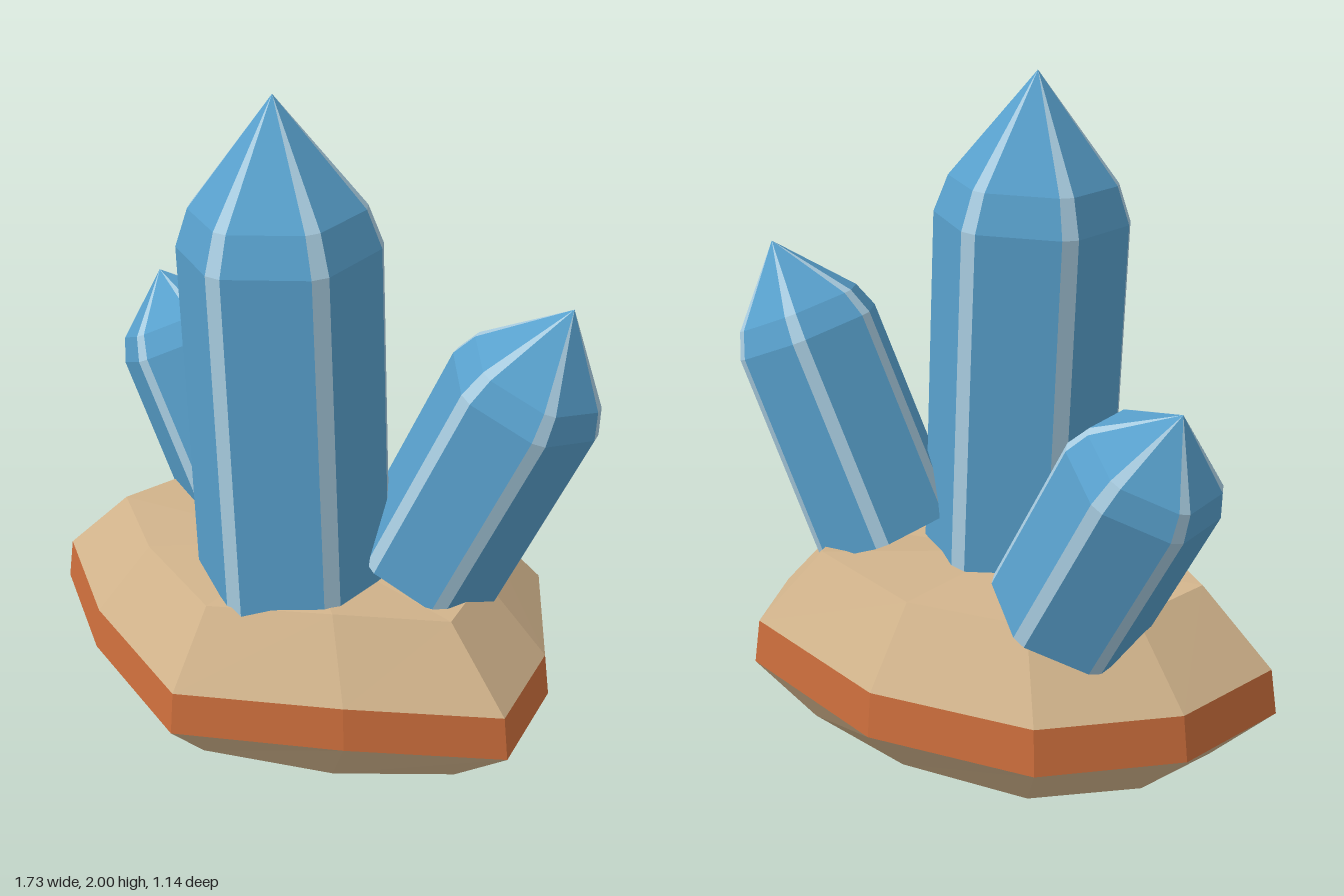
import * as THREE from 'three';

const mat = (name, color) => {
  const m = new THREE.MeshStandardMaterial({ color, flatShading: true });
  m.name = name;
  return m;
};

// Skin between rings of points; a ring of one point closes the end as a fan.
function loft(rings, keep = () => true) {
  const pos = [];
  const tri = (...pts) => pts.forEach(p => pos.push(p.x, p.y, p.z));
  for (let r = 0; r < rings.length - 1; r++) {
    const lo = rings[r], hi = rings[r + 1];
    const n = Math.max(lo.length, hi.length);
    for (let i = 0; i < n; i++) {
      if (!keep(i, r)) continue;
      const j = (i + 1) % n;
      if (hi.length === 1) tri(lo[i], hi[0], lo[j]);
      else if (lo.length === 1) tri(lo[0], hi[i], hi[j]);
      else {
        tri(lo[i], hi[i], lo[j]);
        tri(lo[j], hi[i], hi[j]);
      }
    }
  }
  const g = new THREE.BufferGeometry();
  g.setAttribute('position', new THREE.Float32BufferAttribute(pos, 3));
  g.computeVertexNormals();
  return g;
}

function mesh(name, geometry, material) {
  const m = new THREE.Mesh(geometry, material);
  m.name = name;
  return m;
}

// Hexagonal crystal with narrow bevelled edges, a sloped shoulder and a point.
function crystal(name, { base, tip, radius, phase, shoulder, neck }, faceMat, edgeMat) {
  const from = new THREE.Vector3(...base);
  const axis = new THREE.Vector3(...tip).sub(from);
  const length = axis.length();
  const turn = new THREE.Quaternion().setFromUnitVectors(
    new THREE.Vector3(0, 1, 0), axis.clone().normalize());
  const place = (x, y, z) => new THREE.Vector3(x, y, z).applyQuaternion(turn).add(from);
  const ring = (r, h) => Array.from({ length: 12 }, (_, i) => {
    const a = THREE.MathUtils.degToRad(phase + Math.floor(i / 2) * 60 + (i % 2 ? 5 : -5));
    return place(r * Math.cos(a), h, r * Math.sin(a));
  });
  const rings = [
    [place(0, 0, 0)],
    ring(radius * 1.02, 0),
    ring(radius, length - shoulder),
    ring(radius * 0.86, length - neck),
    [place(0, length, 0)],
  ];
  const isEdge = (i, r) => r > 0 && i % 2 === 0;
  const g = new THREE.Group();
  g.name = name;
  g.add(mesh(name + 'Faces', loft(rings, (i, r) => !isEdge(i, r)), faceMat));
  g.add(mesh(name + 'Edges', loft(rings, isEdge), edgeMat));
  return g;
}

export function createModel() {
  const model = new THREE.Group();
  model.name = 'crystalCluster';
  const stone = mat('tan stone', 0xd2b48c);
  const rust = mat('rust band', 0xcc6e3c);
  const blue = mat('crystal blue', 0x58a0cc);
  const pale = mat('pale crystal edge', 0xa8cce0);

  // Irregular ten-sided rock: x, z of the widest ring and its height offset
  const outline = [
    [0.80, -0.09, -0.01], [0.79, 0.26, -0.005], [0.36, 0.465, 0.025], [-0.16, 0.57, -0.025],
    [-0.57, 0.34, 0.005], [-0.865, 0.05, 0.015], [-0.72, -0.29, 0], [-0.37, -0.55, -0.005],
    [0.16, -0.575, -0.02], [0.66, -0.44, 0.03],
  ];
  const level = (scale, y, wobble) =>
    outline.map(([x, z, d]) => new THREE.Vector3(x * scale, y + d * wobble, z * scale));
  const foot = level(0.775, 0, 0);
  const bandLow = level(1, 0.177, 1);
  const bandHigh = level(0.975, 0.318, 1);
  const top = level(0.72, 0.55, 0.8);
  const centre = y => [new THREE.Vector3(0, y, 0)];

  const rock = new THREE.Group();
  rock.name = 'rockBase';
  rock.add(mesh('rockUnderside', loft([centre(0), foot, bandLow]), stone));
  rock.add(mesh('rockBand', loft([bandLow, bandHigh]), rust));
  rock.add(mesh('rockTop', loft([bandHigh, top, centre(0.55)]), stone));
  model.add(rock);

  // Three crystals leaning apart
  model.add(crystal('tallCrystal', {
    base: [0.027, 0.5, 0.11], tip: [-0.035, 2, 0.11],
    radius: 0.287, phase: 41, shoulder: 0.42, neck: 0.31,
  }, blue, pale));
  model.add(crystal('leftCrystal', {
    base: [0.40, 0.57, -0.06], tip: [0.77, 1.46, -0.09],
    radius: 0.232, phase: 0, shoulder: 0.3, neck: 0.22,
  }, blue, pale));
  model.add(crystal('rightCrystal', {
    base: [-0.32, 0.54, -0.25], tip: [-0.675, 1.22, -0.32],
    radius: 0.227, phase: 39, shoulder: 0.24, neck: 0.165,
  }, blue, pale));

  return model;
}
